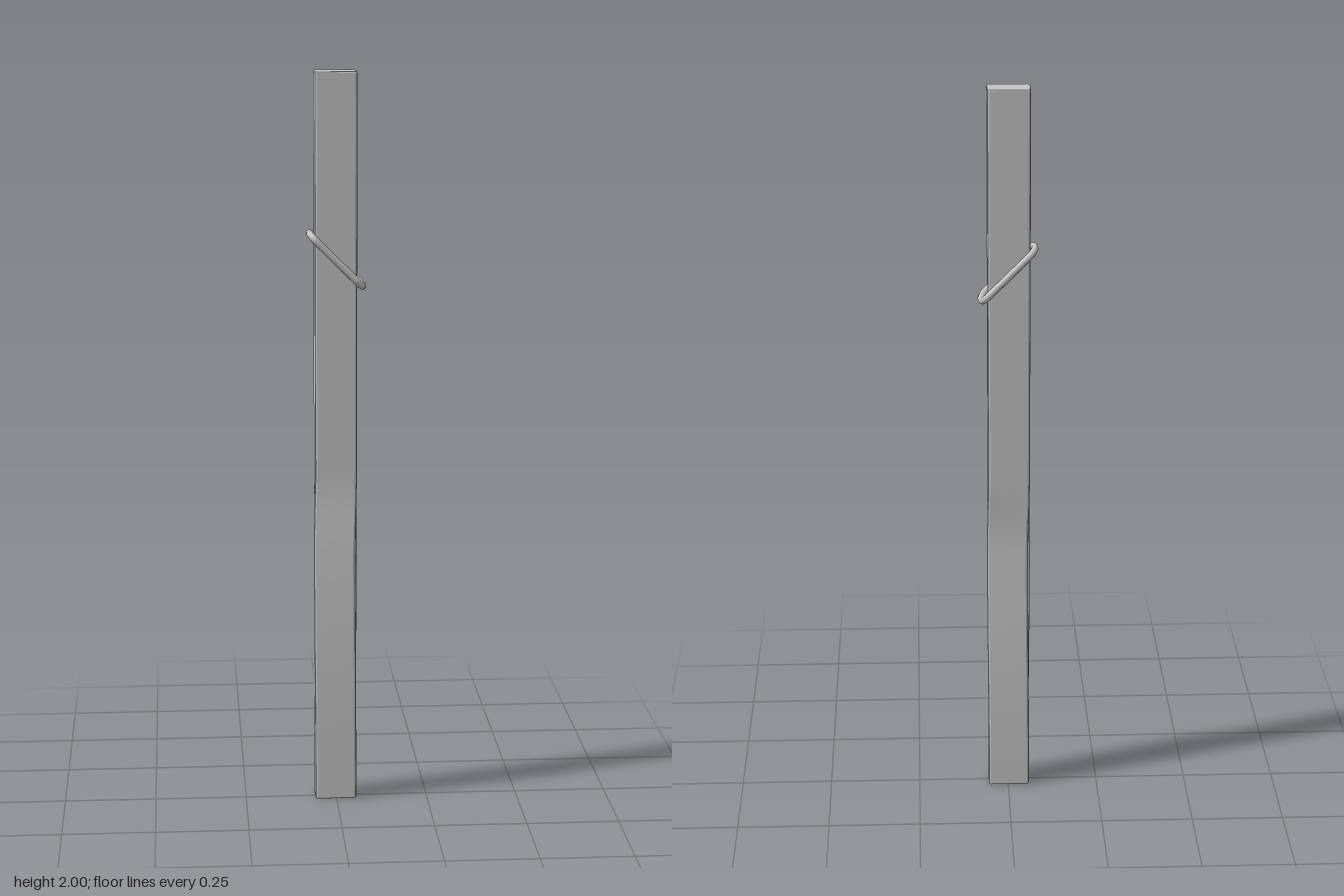
import * as THREE from 'three';
import { mergeVertices, toCreasedNormals } from 'three/addons/utils/BufferGeometryUtils.js';

// Rounded rectangle centred on the origin
function roundedRect(w, h, r) {
  const x = w / 2, y = h / 2, s = new THREE.Shape();
  s.absarc(x - r, y - r, r, 0, Math.PI / 2);
  s.absarc(r - x, y - r, r, Math.PI / 2, Math.PI);
  s.absarc(r - x, r - y, r, Math.PI, Math.PI * 1.5);
  s.absarc(x - r, r - y, r, Math.PI * 1.5, Math.PI * 2);
  s.closePath();
  return s;
}

export function createModel() {
  const group = new THREE.Group();
  const grey = new THREE.MeshStandardMaterial({ color: 0xc4c4c4 });
  grey.name = 'grey';

  // Bar: post with narrow bevels, slightly twisted and pushed forward below the middle
  const bevel = 0.004;
  let bar = new THREE.ExtrudeGeometry(roundedRect(0.113 - 2 * bevel, 0.067 - 2 * bevel, 0.003), {
    depth: 2 - 2 * bevel, steps: 80, curveSegments: 1,
    bevelEnabled: true, bevelThickness: bevel, bevelSize: bevel, bevelSegments: 2,
  });
  bar.rotateX(-Math.PI / 2);
  bar.translate(0, bevel, 0);
  const pos = bar.attributes.position;
  for (let i = 0; i < pos.count; i++) {
    const x = pos.getX(i), y = pos.getY(i), z = pos.getZ(i);
    const bend = y > 0.72
      ? 1 - THREE.MathUtils.smoothstep(y, 0.72, 0.92)
      : THREE.MathUtils.smoothstep(y, 0.02, 0.72);
    const twist = 0.13 * bend;
    pos.setX(i, x * Math.cos(twist) - z * Math.sin(twist));
    pos.setZ(i, x * Math.sin(twist) + z * Math.cos(twist) + 0.008 * bend);
  }
  bar.deleteAttribute('uv');
  bar.deleteAttribute('normal');
  bar = toCreasedNormals(mergeVertices(bar, 1e-5), 0.3);
  const barMesh = new THREE.Mesh(bar, grey);
  barMesh.name = 'bar';
  barMesh.position.set(-0.002, 0, -0.0035);
  group.add(barMesh);

  // Wire ring: rounded loop hung diagonally around the bar
  const loop = roundedRect(0.198, 0.072, 0.026).getSpacedPoints(72).slice(0, -1);
  const path = new THREE.CatmullRomCurve3(loop.map((p) => new THREE.Vector3(p.x, 0, p.y)), true);
  const ring = new THREE.Mesh(new THREE.TubeGeometry(path, 96, 0.0095, 10, true), grey);
  ring.name = 'ring';
  ring.rotation.z = -Math.PI / 4;
  ring.position.set(0, 1.502, -0.0035);
  group.add(ring);

  return group;
}
